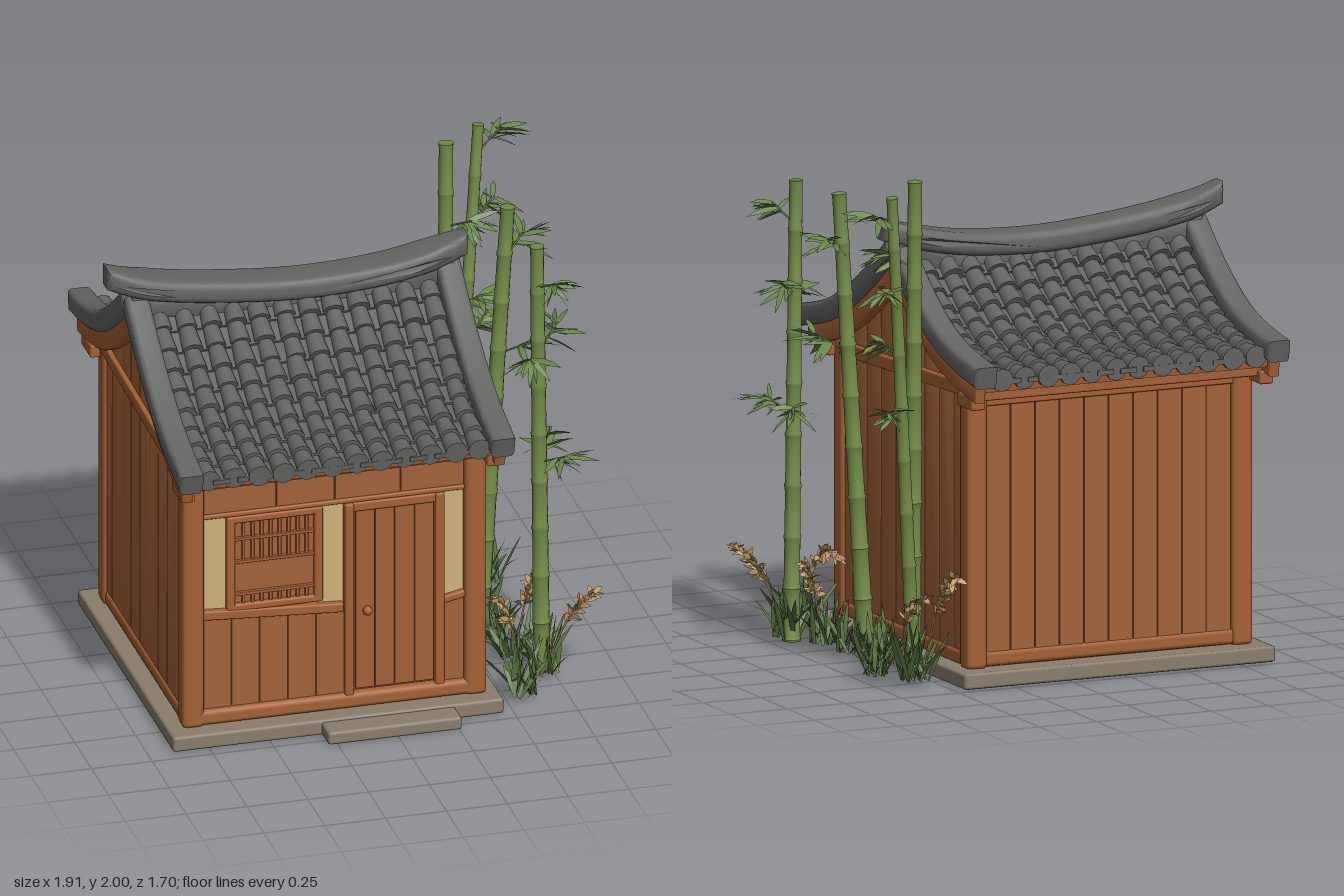
import * as THREE from 'three';
import { mergeGeometries, toCreasedNormals } from 'three/addons/utils/BufferGeometryUtils.js';
import { RoundedBoxGeometry } from 'three/addons/geometries/RoundedBoxGeometry.js';

const V3 = (x, y, z) => new THREE.Vector3(x, y, z);
const V2 = (x, y) => new THREE.Vector2(x, y);

function material(name, color, side = THREE.FrontSide) {
  const m = new THREE.MeshStandardMaterial({ color, side });
  m.name = name;
  return m;
}

// box given by its limits, with softened edges
function box(x0, x1, y0, y1, z0, z1, r = 0.008) {
  const w = x1 - x0, h = y1 - y0, d = z1 - z0;
  return new RoundedBoxGeometry(w, h, d, 1, Math.min(r, w / 3, h / 3, d / 3))
    .translate((x0 + x1) / 2, (y0 + y1) / 2, (z0 + z1) / 2);
}

// shape in the z-y plane, pushed along x from x0 to x1
function extrudeX(points, x0, x1, b = 0.01) {
  const g = new THREE.ExtrudeGeometry(new THREE.Shape(points), {
    depth: x1 - x0 - 2 * b, bevelEnabled: true, bevelSize: b, bevelThickness: b, bevelOffset: -b, bevelSegments: 3,
  });
  return toCreasedNormals(g.rotateY(-Math.PI / 2).translate(x1 - b, 0, 0), 0.7);
}

export function createModel() {
  const root = new THREE.Group();
  root.name = 'bambooHut';
  const mat = {
    tile: material('roofGrey', 0x636563),
    wood: material('plankBrown', 0xa3623a),
    beam: material('beamBrown', 0xa66035),
    plaster: material('plasterCream', 0xcfb27c),
    stone: material('stoneTaupe', 0x8a7d6b),
    bamboo: material('bambooGreen', 0x728a47),
    leaf: material('leafGreen', 0x68854a, THREE.DoubleSide),
    grass: material('grassGreen', 0x587540, THREE.DoubleSide),
    plume: material('plumeTan', 0xbd9868, THREE.DoubleSide),
  };
  const add = (name, m, geos) => {
    const list = geos.map(g => (g.index ? g.toNonIndexed() : g));
    const mesh = new THREE.Mesh(list.length > 1 ? mergeGeometries(list) : list[0], m);
    mesh.name = name;
    root.add(mesh);
  };
  let seed = 7;
  const rnd = (a = 0, b = 1) => {
    seed = (seed * 16807) % 2147483647;
    return a + (b - a) * seed / 2147483647;
  };

  // foundation and door step
  add('foundation', mat.stone, [box(-0.9, 0.46, 0, 0.065, -0.72, 0.7, 0.012), box(-0.29, 0.26, 0, 0.055, 0.68, 0.8, 0.012)]);

  // roof slopes as z-y curves from the ridge outwards
  const slopes = [
    [V2(-0.02, 1.66), V2(0.2, 1.5), V2(0.4, 1.38), V2(0.6, 1.295), V2(0.84, 1.235)],
    [V2(-0.02, 1.66), V2(-0.2, 1.515), V2(-0.4, 1.39), V2(-0.6, 1.32), V2(-0.84, 1.28)],
  ].map(p => new THREE.SplineCurve(p));
  const frame = (c, u) => {
    const p = c.getPointAt(u), t = c.getTangentAt(u);
    return { p, t, n: t.x > 0 ? V2(-t.y, t.x) : V2(t.y, -t.x) };
  };
  // strip following a slope between two offsets from its curve
  const strip = (c, lo, hi, x0, x1, end, b) => {
    const top = [], bottom = [];
    for (let i = 0; i <= 14; i++) {
      const { p, n } = frame(c, end * i / 14);
      top.push(p.clone().addScaledVector(n, hi));
      bottom.unshift(p.clone().addScaledVector(n, lo));
    }
    return extrudeX([...top, ...bottom], x0, x1, b);
  };
  const verges = [], barges = [], decks = [], pans = [], rolls = [];
  for (const c of slopes) {
    for (const x of [-0.91, 0.37]) verges.push(strip(c, -0.045, 0.045, x, x + 0.1, 1, 0.02));
    for (const x of [-0.885, 0.4]) barges.push(strip(c, -0.12, -0.04, x, x + 0.045, 0.955, 0.008));
    decks.push(strip(c, -0.085, -0.055, -0.86, 0.42, 0.93, 0.005));
    // overlapping rows of pans and round cover tiles
    const rows = 9;
    for (let r = 0; r < rows; r++) {
      const { p, t, n } = frame(c, 0.045 + 0.9 * (r + 0.5) / rows);
      const up = t.clone().multiplyScalar(-1).addScaledVector(n, -0.12);
      const angle = Math.atan2(up.x, up.y);
      const o = p.clone().addScaledVector(n, -0.035);
      for (let k = 0; k < 12; k++) {
        const x = -0.775 + k * 0.101, s = r === rows - 1 ? 1.08 : rnd(0.93, 1.07);
        rolls.push(new THREE.CylinderGeometry(0.034 * s, 0.043 * s, 0.116, 10).rotateX(angle).translate(x + rnd(-0.004, 0.004), o.y, o.x + rnd(-0.008, 0.008)));
        if (k < 11) pans.push(new THREE.BoxGeometry(0.07, 0.118, 0.02).rotateX(angle).translate(x + 0.05, o.y - 0.008, o.x));
      }
    }
  }
  add('vergeCaps', mat.tile, verges);
  add('bargeBoards', mat.beam, barges);
  add('roofDeck', mat.beam, decks);
  add('panTiles', mat.tile, pans);
  add('coverTiles', mat.tile, rolls);

  // ridge sagging in the middle, with a narrower course beneath
  const ridgeTop = new THREE.SplineCurve([V2(-0.98, 1.815), V2(-0.85, 1.77), V2(-0.6, 1.725), V2(-0.22, 1.69), V2(0.1, 1.7), V2(0.32, 1.735), V2(0.5, 1.785)]).getPoints(30);
  const ridge = (drop0, drop1, z0, z1, b, x0, x1) => {
    const top = ridgeTop.filter(p => p.x >= x0 && p.x <= x1);
    const pts = [...top.map(p => V2(p.x, p.y - drop1)).reverse(), ...top.map(p => V2(p.x, p.y - drop0))];
    return new THREE.ExtrudeGeometry(new THREE.Shape(pts), {
      depth: z1 - z0 - 2 * b, bevelEnabled: true, bevelSize: b, bevelThickness: b, bevelOffset: -b, bevelSegments: 4,
    }).translate(0, 0, z0 + b);
  };
  const cap = ridge(0.09, 0, -0.105, 0.065, 0.03, -1, 1), pos = cap.attributes.position;
  // the cap narrows towards both ends
  for (let i = 0; i < pos.count; i++) {
    const reach = Math.min(1, (0.74 - Math.abs(pos.getX(i) + 0.24)) / 0.16);
    pos.setZ(i, -0.02 + (pos.getZ(i) + 0.02) * (0.55 + 0.45 * Math.max(0, reach)));
  }
  add('ridgeCap', mat.tile, [toCreasedNormals(cap, 0.8)]);
  add('ridgeCourse', mat.tile, [toCreasedNormals(ridge(0.16, 0.07, -0.075, 0.035, 0.01, -0.9, 0.45), 0.8)]);

  // frame: posts, sills, wall plates and eave purlins
  const frameParts = [];
  for (const x of [-0.84, 0.32]) for (const z of [-0.64, 0.54]) frameParts.push(box(x, x + 0.09, 0.06, 1.18, z, z + 0.09, 0.02));
  for (const z of [-0.63, 0.57]) frameParts.push(box(-0.78, 0.35, 0.065, 0.13, z, z + 0.06, 0.02), box(-0.78, 0.35, 1.12, 1.2, z, z + 0.06));
  for (const x of [-0.835, 0.345]) {
    frameParts.push(box(x, x + 0.06, 0.065, 0.13, -0.56, 0.56, 0.02));
    frameParts.push(box(x - 0.01, x + 0.07, -0.028, 0.028, -0.6, 0.56).rotateX(0.035).translate(0, 1.17, 0));
  }
  for (const s of [-1, 1]) {
    const y = s > 0 ? 0 : 0.02;
    frameParts.push(box(-0.88, 0.44, 1.14 + y, 1.18 + y, s * 0.69 - 0.025, s * 0.69 + 0.025));
    for (const x of [-0.88, 0.38]) frameParts.push(box(x, x + 0.06, 1.11 + y, 1.165 + y, s * 0.67 - 0.07, s * 0.67 + 0.07));
  }
  add('timberFrame', mat.beam, frameParts);

  // plank walls on the back and the two gables, over a solid core
  const gableTop = z => {
    const c = slopes[z > -0.02 ? 0 : 1];
    let best = c.getPointAt(0);
    for (let u = 0; u <= 1; u += 0.01) {
      const p = c.getPointAt(u);
      if (Math.abs(p.x - z) < Math.abs(best.x - z)) best = p;
    }
    return best.y - 0.075;
  };
  const core = [V2(-0.59, 0.06), V2(0.57, 0.06)];
  for (let i = 0; i <= 12; i++) core.push(V2(0.57 - i * 1.16 / 12, gableTop(0.57 - i * 1.16 / 12)));
  add('wallCore', mat.wood, [extrudeX(core, -0.815, 0.385, 0.002)]);
  const back = [], gables = [];
  for (let i = 0; i < 10; i++) {
    const x = -0.75 + i * 0.107;
    back.push(box(x + 0.001, x + 0.106, 0.1, 1.19, -0.62, -0.58, 0.004));
  }
  for (const x of [-0.825, 0.355]) for (let i = 0; i < 9; i++) {
    const w = 1.22 / 9, z0 = -0.61 + i * w + 0.001, z1 = z0 + w - 0.002, zm = (z0 + z1) / 2;
    gables.push(extrudeX([V2(z0, 0.1), V2(z1, 0.1), V2(z1, gableTop(z1)), V2(zm, gableTop(zm)), V2(z0, gableTop(z0))], x, x + 0.04, 0.003));
  }
  add('backPlanks', mat.wood, back);
  add('gablePlanks', mat.wood, gables);

  // front wall: plaster fields, lower planks, upper boards
  add('plasterPanels', mat.plaster, [box(-0.76, -0.64, 0.52, 0.965, 0.56, 0.592, 0.002), box(-0.28, -0.16, 0.52, 0.965, 0.56, 0.592, 0.002), box(0.23, 0.33, 0.5, 0.965, 0.56, 0.592, 0.002)]);
  const frontPlanks = [box(0.23, 0.33, 0.12, 0.5, 0.56, 0.6, 0.003)];
  for (let i = 0; i < 5; i++) frontPlanks.push(box(-0.75 + i * 0.116, -0.635 + i * 0.116, 0.12, 0.52, 0.56, 0.603, 0.003));
  for (const [a, b] of [[-0.76, -0.45], [-0.448, -0.21], [-0.208, 0.06], [0.062, 0.33]]) frontPlanks.push(box(a, b, 0.97, 1.13, 0.56, 0.6, 0.003));
  add('frontPlanks', mat.wood, frontPlanks);
  add('frontRails', mat.beam, [
    box(-0.29, 0.29, -0.02, 0.02, 0.57, 0.62).rotateZ(-0.06).translate(-0.465, 0.525, 0),
    box(-0.05, 0.05, -0.015, 0.015, 0.57, 0.615).rotateZ(0.2).translate(0.28, 0.495, 0),
    box(-0.76, 0.33, 0.96, 0.98, 0.57, 0.612), box(-0.172, -0.135, 0.12, 0.96, 0.57, 0.625), box(0.2, 0.238, 0.12, 0.96, 0.57, 0.622),
    box(-0.14, 0.21, 0.92, 0.96, 0.57, 0.615),
  ]);

  // lattice window
  add('windowPanel', mat.wood, [box(-0.65, -0.26, 0.55, 0.96, 0.56, 0.594, 0.002)]);
  const lattice = [box(-0.655, -0.62, 0.545, 0.96, 0.58, 0.615), box(-0.295, -0.26, 0.545, 0.96, 0.58, 0.615), box(-0.64, -0.27, 0.93, 0.96, 0.58, 0.615), box(-0.64, -0.27, 0.545, 0.575, 0.58, 0.615)];
  for (const y of [0.61, 0.75, 0.85]) lattice.push(box(-0.63, -0.28, y, y + 0.014, 0.585, 0.608, 0.003));
  for (let i = 0; i < 8; i++) {
    const x = -0.59 + i * 0.037;
    lattice.push(box(x, x + 0.013, 0.755, 0.94, 0.585, 0.604, 0.003), box(x, x + 0.013, 0.565, 0.62, 0.585, 0.604, 0.003));
  }
  add('windowLattice', mat.beam, lattice);

  // plank door with knob
  const door = [];
  for (let i = 0; i < 4; i++) door.push(box(-0.125 + i * 0.081, -0.046 + i * 0.081, 0.14, 0.92, 0.56, 0.605, 0.003));
  add('door', mat.wood, door);
  add('doorKnob', mat.beam, [new THREE.SphereGeometry(0.02, 12, 8).translate(-0.08, 0.485, 0.622)]);

  // tapering, drooping blade of three sections, rolled about its length
  const blade = (out, p, d, len, w, bend, roll = 0) => {
    const side = V3(0, 1, 0).cross(d).normalize().applyAxisAngle(d, roll);
    const at = (t, k) => p.clone().addScaledVector(d, len * t).addScaledVector(side, w * k).add(V3(0, -bend * t * t, 0));
    const widths = [0.25, 0.5, 0.4, 0];
    for (let i = 0; i < 3; i++) {
      const a = at(i / 3, -widths[i]), b = at(i / 3, widths[i]), c = at((i + 1) / 3, widths[i + 1]), e = at((i + 1) / 3, -widths[i + 1]);
      for (const v of i < 2 ? [a, b, c, a, c, e] : [a, b, c]) out.push(v.x, v.y, v.z);
    }
  };
  const bladeMesh = (name, m, out) => {
    const g = new THREE.BufferGeometry();
    g.setAttribute('position', new THREE.Float32BufferAttribute(out, 3));
    g.computeVertexNormals();
    add(name, m, [g]);
  };

  // bamboo stalks: foot, tip, radius, then leaf sprays as [height, x direction, z direction]
  const stalks = [
    [V3(0.7, 0.02, 0.39), V3(0.68, 1.88, 0.39), 0.036, [[1.7, 0.3, 1], [1.42, 0.8, -0.7], [1.38, -0.4, 0.7], [0.93, 0.6, 1], [0.92, 0.5, -1]]],
    [V3(0.54, 0.03, 0.035), V3(0.66, 1.89, 0.03), 0.038, [[1.66, 0.8, -0.7], [1.25, 1, 0.5]]],
    [V3(0.49, 0.03, -0.29), V3(0.52, 2.0, -0.38), 0.038, [[1.64, 0.6, 0.9], [1.28, 0.9, 0.3]]],
    [V3(0.53, 0.02, -0.39), V3(0.7, 1.98, -0.55), 0.03, [[1.86, 0.9, -0.5], [1.56, 0.9, -0.7], [1.05, 0.8, -0.7]]],
  ];
  const leaves = [], canes = [], twigs = [];
  for (const [foot, tip, r, sprays] of stalks) {
    const dir = tip.clone().sub(foot), len = dir.length(), n = 9, prof = [V2(0, 0)];
    dir.normalize();
    for (let i = 0; i < n; i++) {
      const y = len * i / n, s = r * (1 - 0.22 * i / n);
      prof.push(V2(s * 1.02, y), V2(s * 1.08, y + 0.008), V2(s * 0.95, y + 0.02), V2(s * 0.92, y + len / n - 0.02));
    }
    prof.push(V2(r * 0.8, len), V2(0, len));
    const q = new THREE.Quaternion().setFromUnitVectors(V3(0, 1, 0), dir);
    canes.push(toCreasedNormals(new THREE.LatheGeometry(prof, 14), 0.6).applyQuaternion(q).translate(foot.x, foot.y, foot.z));
    for (const [y, dx, dz] of sprays) {
      const a = foot.clone().lerp(tip, (y - foot.y) / (tip.y - foot.y)), h = V3(dx, 0, dz).normalize();
      const b = a.clone().addScaledVector(h, 0.14).add(V3(0, 0.07, 0));
      twigs.push(new THREE.TubeGeometry(new THREE.LineCurve3(a, b), 1, 0.004, 5));
      for (let i = 0; i < 13; i++) {
        const d = h.clone().applyAxisAngle(V3(0, 1, 0), rnd(-1.3, 1.3)).add(V3(0, rnd(-0.5, 0.5), 0)).normalize();
        blade(leaves, a.clone().lerp(b, rnd(0.45, 1)), d, rnd(0.09, 0.16), 0.026, 0.02, rnd(-0.9, 0.9));
      }
    }
  }
  add('bambooCanes', mat.bamboo, canes);
  add('bambooTwigs', mat.bamboo, twigs);
  bladeMesh('bambooLeaves', mat.leaf, leaves);

  // grass tufts along the wall
  const grass = [];
  for (const [x, z, h] of [[0.57, 0.6, 0.3], [0.7, 0.42, 0.3], [0.62, 0.25, 0.24], [0.6, 0.05, 0.22], [0.6, -0.2, 0.24], [0.7, -0.42, 0.27], [0.62, -0.57, 0.32]]) {
    for (let i = 0; i < 26; i++) {
      const a = rnd(0, Math.PI * 2), lean = rnd(0.1, 0.75);
      const d = V3(Math.cos(a) * lean, 1, Math.sin(a) * lean).normalize();
      blade(grass, V3(x + rnd(-0.05, 0.05), 0.03, z + rnd(-0.05, 0.05)), d, h * rnd(0.5, 1.05), 0.022, h * lean * 0.3, rnd(-0.6, 0.6));
    }
  }
  // reeds with feathery drooping heads: foot, bend, tip
  const plumes = [], stems = [];
  for (const [f, m, t] of [
    [V3(0.58, 0.04, -0.6), V3(0.57, 0.36, -0.64), V3(0.53, 0.48, -0.8)],
    [V3(0.66, 0.04, -0.58), V3(0.7, 0.34, -0.62), V3(0.66, 0.4, -0.78)],
    [V3(0.63, 0.04, 0.25), V3(0.67, 0.26, 0.23), V3(0.72, 0.36, 0.21)],
    [V3(0.57, 0.04, 0.58), V3(0.53, 0.4, 0.54), V3(0.51, 0.34, 0.38)],
    [V3(0.7, 0.04, 0.45), V3(0.77, 0.3, 0.47), V3(0.88, 0.39, 0.52)],
  ]) {
    const c = new THREE.QuadraticBezierCurve3(f, f.clone().lerp(m, 1.1), t);
    stems.push(new THREE.TubeGeometry(c, 8, 0.004, 5));
    for (let i = 0; i < 44; i++) {
      const u = 0.56 + 0.44 * i / 44, d = c.getTangentAt(u).add(V3(rnd(-0.8, 0.8), rnd(-0.8, 0.8), rnd(-0.8, 0.8))).normalize();
      blade(plumes, c.getPointAt(u), d, 0.055, 0.024, 0.012, rnd(-1.5, 1.5));
    }
  }
  bladeMesh('grassTufts', mat.grass, grass);
  add('reedStems', mat.plume, stems);
  bladeMesh('reedPlumes', mat.plume, plumes);
  return root;
}
